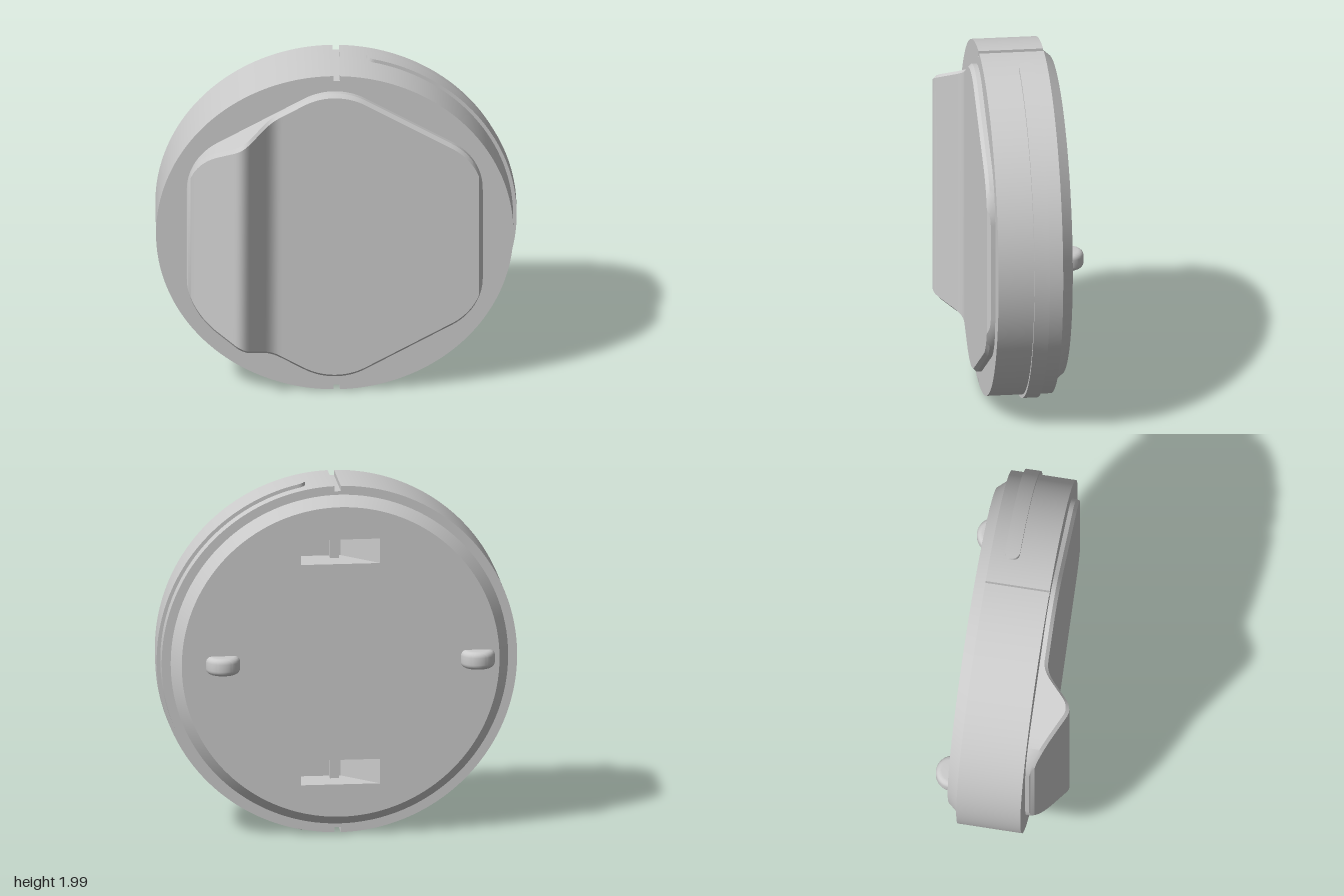
import * as THREE from 'three';
import { toCreasedNormals } from 'three/addons/utils/BufferGeometryUtils.js';

const R = 0.99;                       // body radius
const BACK = -0.27, STEP = -0.205, FRONT = 0.155;
const SLOT_Y = 0.63, SLOT_W = 0.44, SLOT_H = 0.14;

const material = new THREE.MeshStandardMaterial({ color: 0xcccccc });

function add(parent, name, geometry, crease = 0.5) {
  const mesh = new THREE.Mesh(toCreasedNormals(geometry, crease), material);
  mesh.name = name;
  parent.add(mesh);
  return mesh;
}

// Skin a series of equal-length closed loops and close both ends
function loft(sections) {
  const n = sections[0].length, last = (sections.length - 1) * n, index = [];
  for (let i = 0; i < sections.length - 1; i++) {
    for (let j = 0; j < n; j++) {
      const a = i * n + j, b = i * n + (j + 1) % n;
      index.push(a, b, a + n, b, b + n, a + n);
    }
  }
  for (let j = 1; j < n - 1; j++) {
    index.push(0, j + 1, j, last, last + j, last + j + 1);
  }
  const g = new THREE.BufferGeometry();
  g.setAttribute('position', new THREE.Float32BufferAttribute(sections.flat(2), 3));
  g.setIndex(index);
  return g.toNonIndexed();
}

// Two rectangular openings, one above and one below the centre
function cutSlots(shape) {
  for (const s of [-1, 1]) {
    const x = SLOT_W / 2, y0 = s * SLOT_Y - SLOT_H / 2, y1 = y0 + SLOT_H;
    shape.holes.push(new THREE.Path([[-x, y0], [-x, y1], [x, y1], [x, y0]]
      .map(p => new THREE.Vector2(...p))));
  }
  return shape;
}

function extrude(shape, z0, z1) {
  return new THREE.ExtrudeGeometry(shape, { depth: z1 - z0, bevelEnabled: false, curveSegments: 72 })
    .translate(0, 0, z0);
}

// Disc outline with a narrow notch at top and bottom
function bodyShape() {
  const x0 = -0.008, x1 = 0.028, d = R - 0.03;
  const a0 = Math.acos(x0 / R), a1 = Math.acos(x1 / R);
  const s = new THREE.Shape();
  s.absarc(0, 0, R, -a1, a1, false);
  s.lineTo(x1, d);
  s.lineTo(x0, d);
  s.absarc(0, 0, R, a0, 2 * Math.PI - a0, false);
  s.lineTo(x0, -d);
  s.lineTo(x1, -d);
  return cutSlots(s);
}

// Rounded hexagon cap whose front carries a vertical ridge
function capGeometry() {
  const A = 0.82, r = 0.34, c = A - r, bevel = 0.02;
  const halfHeight = x => {
    x = Math.abs(x);
    if (x < r / 2) return c / Math.cos(Math.PI / 6) + Math.sqrt(r * r - x * x);
    if (x < c + r / 2) return (2 * A - x) / Math.sqrt(3);
    return c / Math.sqrt(3) + Math.sqrt(Math.max(0, r * r - (x - c) ** 2));
  };
  const corners = [[-0.82, 0.19], [-0.51, 0.37], [-0.35, 0.2], [0.82, 0.2]];
  const linear = x => {
    x = THREE.MathUtils.clamp(x, -A, A);
    const i = Math.max(1, corners.findIndex(p => x <= p[0]));
    const [p, q] = [corners[i - 1], corners[i]];
    return p[1] + (q[1] - p[1]) * (x - p[0]) / (q[0] - p[0]);
  };
  // averaging rounds the ridge and the valley beside it
  const frontZ = x => {
    let sum = 0;
    for (let k = -5; k <= 5; k++) sum += linear(x + k * 0.008);
    return sum / 11;
  };
  const sections = [], N = 128;
  for (let i = 0; i <= N; i++) {
    const x = -A * Math.cos(Math.PI * i / N);
    const h = halfHeight(x), b = Math.min(bevel, A - Math.abs(x));
    const side = frontZ(x) - bevel, top = side + b;
    sections.push([[x, -h, FRONT], [x, h, FRONT], [x, h, side],
      [x, h - b, top], [x, b - h, top], [x, -h, side]]);
  }
  return loft(sections);
}

// Raised round-ended rib following the left half of the rim
function ribGeometry() {
  const end = 1.39, w0 = 0.042, inner = 0.97, outer = 1.01, z = -0.086;
  const angles = [];
  for (let i = 0; i <= 12; i++) angles.push(end - w0 * (1 - Math.cos(Math.PI / 2 * i / 12)));
  const a = end - w0;
  for (let i = 1; i < 80; i++) angles.push(a - 2 * a * i / 80);
  for (let i = 12; i >= 0; i--) angles.push(-end + w0 * (1 - Math.cos(Math.PI / 2 * i / 12)));
  return loft(angles.map(t => {
    const d = Math.min(w0, end - Math.abs(t));
    const w = Math.max(0.001, Math.sqrt(Math.max(0, w0 * w0 - (w0 - d) ** 2)));
    return [[inner, -w], [outer, -w], [outer, w], [inner, w]]
      .map(([q, v]) => [q * Math.cos(t), q * Math.sin(t), z + v]);
  }));
}

export function createModel() {
  const model = new THREE.Group();
  model.name = 'roundCase';
  const g = new THREE.Group();
  g.name = 'case';
  g.position.set(-0.01, 1, 0);
  model.add(g);

  add(g, 'body', extrude(bodyShape(), STEP, FRONT));
  add(g, 'rimRib', ribGeometry());
  add(g, 'frontCap', capGeometry());

  // Back plate with its sloping edge
  const plate = new THREE.Shape().absarc(0, 0, 0.885, 0, 2 * Math.PI, false);
  add(g, 'backPlate', extrude(cutSlots(plate), BACK, STEP));
  const chamfer = new THREE.CylinderGeometry(0.94, 0.885, STEP - BACK, 128, 1, true);
  add(g, 'backChamfer', chamfer.rotateX(Math.PI / 2).translate(0, 0, (STEP + BACK) / 2));

  // Sloping floor and small bar inside each slot
  const floor = new THREE.Shape([[-0.22, BACK], [-0.02, -0.07], [0.22, -0.07], [0.22, 0.15], [-0.22, 0.15]]
    .map(p => new THREE.Vector2(...p)));
  for (const s of [-1, 1]) {
    const ramp = new THREE.ExtrudeGeometry(floor, { depth: SLOT_H, bevelEnabled: false });
    add(g, 'slotRamp', ramp.rotateX(Math.PI / 2).translate(0, s * SLOT_Y + SLOT_H / 2, 0));
    add(g, 'slotBar', new THREE.BoxGeometry(0.05, SLOT_H, 0.06).translate(0.02, s * SLOT_Y, -0.1));
  }

  // Two rounded pegs on the back
  const disc = new THREE.Shape().absarc(0, 0, 0.065, 0, 2 * Math.PI, false);
  for (const x of [-0.765, 0.655]) {
    const peg = new THREE.ExtrudeGeometry(disc, {
      depth: 0.04, bevelThickness: 0.03, bevelSize: 0.03, bevelSegments: 5, curveSegments: 32,
    });
    add(g, 'backPeg', peg.translate(0, 0, -0.02).rotateX(Math.PI / 2).translate(x, 0, -0.26), 0.8);
  }
  return model;
}
